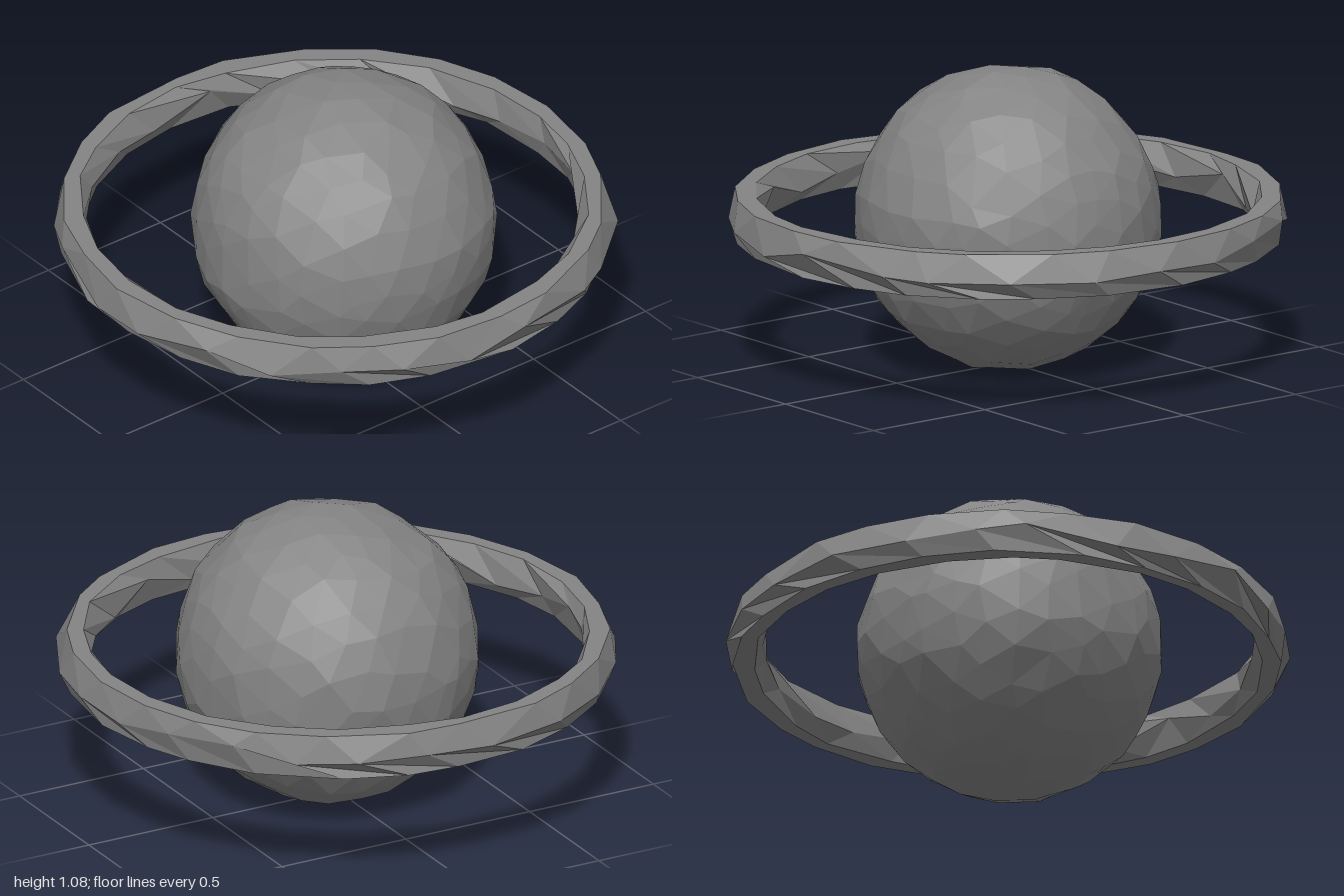
import * as THREE from 'three';

const material = new THREE.MeshStandardMaterial({ color: 0x848484, flatShading: true });

// Repeatable value in -1..1 from a position, so coincident vertices move together
function noise(v, seed) {
  const q = (n) => Math.round(n * 1000);
  const s = Math.sin(q(v.x) * 12.9898 + q(v.y) * 78.233 + q(v.z) * 37.719 + seed * 11.3) * 43758.5453;
  return (s - Math.floor(s)) * 2 - 1;
}

// Move every vertex of a geometry by a rule
function deform(geometry, rule) {
  const pos = geometry.attributes.position;
  const v = new THREE.Vector3();
  for (let i = 0; i < pos.count; i++) {
    v.fromBufferAttribute(pos, i);
    rule(v);
    pos.setXYZ(i, v.x, v.y, v.z);
  }
  geometry.computeVertexNormals();
  return geometry;
}

function addPart(group, name, geometry, x, y, z) {
  const mesh = new THREE.Mesh(geometry, material);
  mesh.name = name;
  mesh.position.set(x, y, z);
  group.add(mesh);
}

export function createModel() {
  const group = new THREE.Group();
  group.name = 'ringedPlanet';

  // Faceted globe with slightly uneven facets
  const globe = deform(new THREE.IcosahedronGeometry(0.54, 4), (v) => {
    const a = noise(v, 1), b = noise(v, 2), c = noise(v, 3), d = noise(v, 4);
    v.x += a * 0.028;
    v.y += b * 0.028;
    v.z += c * 0.028;
    v.setLength(0.541 + d * 0.006);
  });
  addPart(group, 'planet', globe, 0.022, 0.549, -0.025);

  // Hexagonal band around the globe; the middle edges are turned half a step
  // so that its sides break into slanting, rough-hewn facets
  const segments = 24;
  const section = [
    [0.96, -0.08], [0.992, 0], [0.96, 0.08], [0.9, 0.08], [0.868, 0], [0.9, -0.08], [0.96, -0.08],
  ].map(([r, y]) => new THREE.Vector2(r, y));
  const band = deform(new THREE.LatheGeometry(section, segments), (v) => {
    const middle = Math.abs(v.y) < 0.01;
    const radius = Math.hypot(v.x, v.z) + noise(v, 5) * 0.01;
    const angle = Math.atan2(v.z, v.x) + noise(v, 6) * 0.05 + (middle ? Math.PI / segments : 0);
    if (middle) v.y += noise(v, 7) * 0.04;
    v.x = Math.cos(angle) * radius;
    v.z = Math.sin(angle) * radius;
  });
  addPart(group, 'ring', band, 0, 0.553, 0);

  return group;
}
